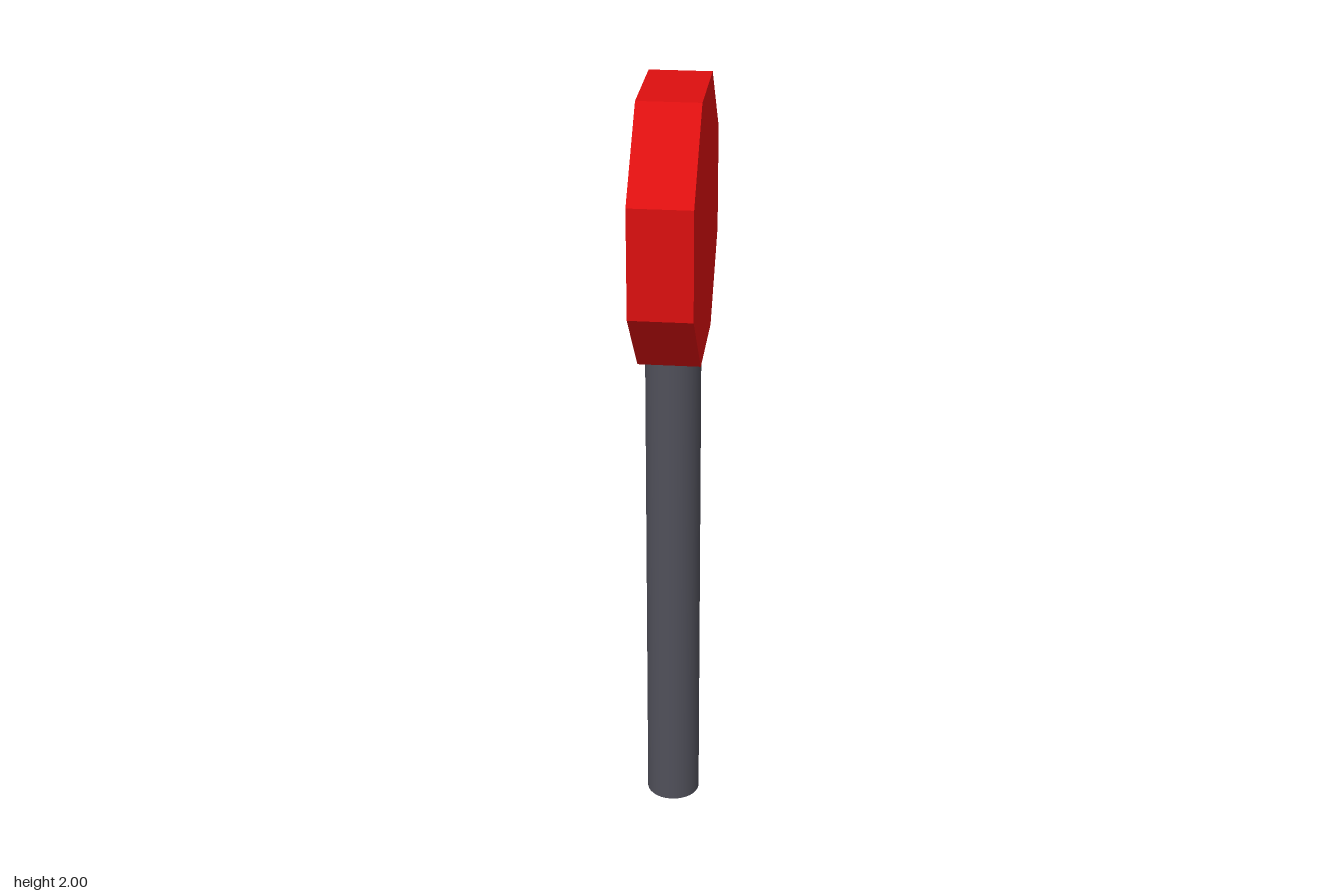
import * as THREE from 'three';

export function createModel() {
  const signRed = new THREE.MeshStandardMaterial({ color: 0xdd0f0f });
  signRed.name = 'signRed';
  signRed.flatShading = true;
  const poleGrey = new THREE.MeshStandardMaterial({ color: 0x50505a });
  poleGrey.name = 'poleGrey';

  const model = new THREE.Group();
  model.name = 'roadSign';

  // Round pole, ending at the underside of the sign
  const poleHeight = 1.36;
  const pole = new THREE.Mesh(new THREE.CylinderGeometry(0.071, 0.071, poleHeight, 32), poleGrey);
  pole.name = 'pole';
  pole.position.set(-0.004, poleHeight / 2, 0);
  model.add(pole);

  // Thick octagonal plate facing sideways, with flat edges at top and bottom
  const apothem = 0.33;
  const radius = apothem / Math.cos(Math.PI / 8);
  const plate = new THREE.CylinderGeometry(radius, radius, 0.156, 8, 1, false, Math.PI / 8);
  plate.rotateZ(Math.PI / 2);
  const sign = new THREE.Mesh(plate, signRed);
  sign.name = 'signPlate';
  sign.position.y = 2 - apothem;
  model.add(sign);

  return model;
}
